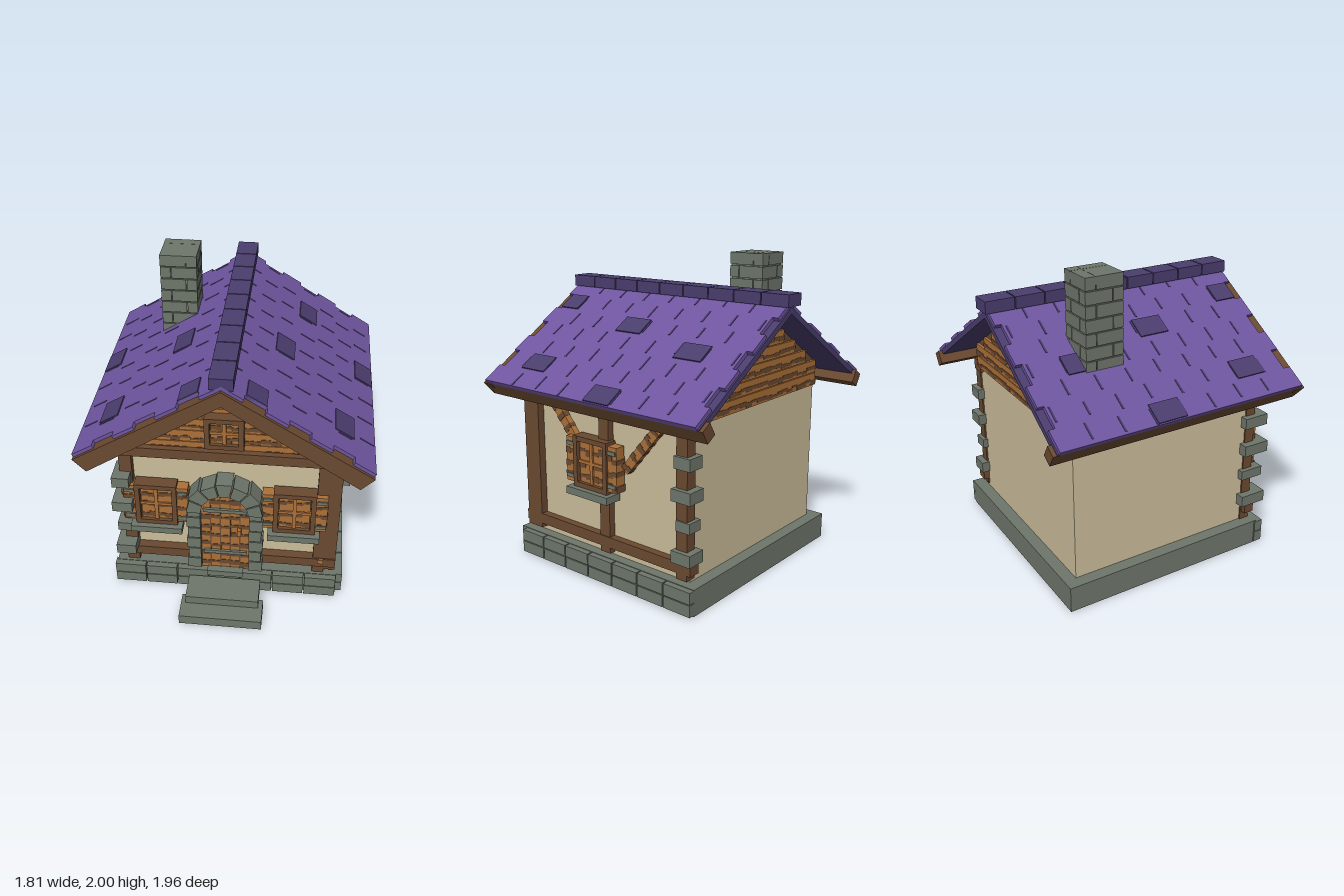
import * as THREE from 'three';
import { mergeGeometries } from 'three/addons/utils/BufferGeometryUtils.js';

const paint = (name, color) => {
  const m = new THREE.MeshStandardMaterial({ color });
  m.name = name;
  return m;
};

export function createModel() {
  const model = new THREE.Group();
  model.name = 'cottage';
  const stone = paint('stone', 0x6e766b), timber = paint('timber', 0x6a4930), plaster = paint('plaster', 0xcbbd9a),
    plank = paint('plank', 0xac7038), tile = paint('tile', 0x6e559f), darkTile = paint('dark tile', 0x4a3d6d);

  let seed = 7;
  const rand = () => (seed = (seed * 16807) % 2147483647) / 2147483647;

  const add = (parent, name, geo, mat) => {
    const mesh = new THREE.Mesh(geo, mat);
    mesh.name = name;
    parent.add(mesh);
    return mesh;
  };
  const group = (parent, name) => {
    const g = new THREE.Group();
    g.name = name;
    parent.add(g);
    return g;
  };
  // box geometry given by its limits on each axis
  const span = (x0, x1, y0, y1, z0, z1) =>
    new THREE.BoxGeometry(x1 - x0, y1 - y0, z1 - z0).translate((x0 + x1) / 2, (y0 + y1) / 2, (z0 + z1) / 2);
  const box = (parent, name, mat, ...lim) => add(parent, name, span(...lim), mat);
  const extrude = (pts, z0, z1) => new THREE.ExtrudeGeometry(
    new THREE.Shape(pts.map(p => new THREE.Vector2(...p))), { depth: z1 - z0, bevelEnabled: false }).translate(0, 0, z0);

  // ragged dark grain wrapped round a board
  const grain = (parent, x0, x1, y0, y1, z0, z1, pitch = 0.085) => {
    const parts = [], n = Math.max(2, Math.round((x1 - x0) / 0.06)), w = (x1 - x0) / n, e = 0.003;
    for (let y = y0 + pitch * 0.4; y < y1 - 0.01; y += pitch) {
      for (let i = 0; i < n; i++) {
        const h = pitch * (0.2 + 0.3 * rand()), c = y + (rand() - 0.5) * pitch * 0.3;
        parts.push(span(x0 + i * w - (i ? 0 : e), x0 + (i + 1) * w + (i < n - 1 ? 0 : e),
          Math.max(y0, c - h / 2), Math.min(y1, c + h / 2), z0 - e, z1 + e));
      }
    }
    add(parent, 'woodGrain', mergeGeometries(parts), timber);
  };
  const board = (parent, name, ...lim) => {
    box(parent, name, plank, ...lim);
    grain(parent, ...lim);
  };

  // foundation with facing stones on the front and one side
  box(model, 'foundation', stone, -0.74, 0.745, 0, 0.17, -0.82, 0.62);
  const footing = [];
  for (let r = 0; r < 2; r++) for (let i = 0; i < 7; i++) {
    const y0 = 0.01 + r * 0.081, y1 = y0 + 0.075, x = -0.75 + i * 0.214, z = -0.82 + i * 0.205;
    footing.push(span(x, x + 0.206, y0, y1, 0.6, 0.66), span(0.73, 0.785, y0, y1, z, z + 0.197));
  }
  add(model, 'footingStones', mergeGeometries(footing), stone);
  box(model, 'upperStep', stone, -0.24, 0.24, 0.06, 0.13, 0.68, 0.87);
  box(model, 'lowerStep', stone, -0.27, 0.27, 0, 0.07, 0.8, 0.985);
  box(model, 'threshold', stone, -0.12, 0.12, 0.13, 0.175, 0.6, 0.67);

  // walls and the loft behind the gables
  box(model, 'walls', plaster, -0.66, 0.68, 0.16, 1.2, -0.74, 0.55);
  add(model, 'loft', extrude([[-0.66, 1.13], [0.67, 1.13], [0.67, 1.28], [0, 1.69], [-0.66, 1.28]], -0.745, 0.555), timber);

  // timber frame
  const frame = group(model, 'timberFrame');
  [[-0.67, -0.59, 0.17, 1.1, 0.53, 0.6], [0.58, 0.655, 0.17, 1.1, 0.53, 0.6],
    [0.655, 0.73, 0.2, 1.1, 0.47, 0.6], [0.6, 0.725, 0.19, 1.15, -0.145, -0.065],
    [0.65, 0.725, 0.19, 1.15, -0.75, -0.67], [-0.705, 0.73, 0.23, 0.3, 0.54, 0.61],
    [-0.71, 0.73, 1.09, 1.16, 0.54, 0.615], [0.65, 0.73, 0.23, 0.3, -0.78, 0.6],
    [0.62, 0.72, 1.08, 1.16, -0.76, 0.56]].forEach(l => box(frame, 'beam', timber, ...l));
  for (const s of [-1, 1]) for (const y of [0.28, 1.13])
    box(frame, 'peg', plank, s * 0.63 - 0.02, s * 0.63 + 0.02, y - 0.018, y + 0.018, 0.6, 0.618);
  // diagonal braces on the side wall: [z, y] ends
  [[0.345, 1.11, 0.13, 0.85], [-0.56, 1.11, -0.27, 0.765]].forEach(([za, ya, zb, yb]) => {
    const b = group(frame, 'brace'), len = Math.hypot(za - zb, ya - yb);
    board(b, 'braceBoard', -0.03, 0.03, -len / 2, len / 2, -0.025, 0.025);
    b.position.set(0.695, (ya + yb) / 2, (za + zb) / 2);
    b.rotation.set(Math.atan2(za - zb, ya - yb), Math.PI / 2, 0, 'XYZ');
  });

  // corner stones
  const quoins = [];
  [[0.3, 0.375, 0.02], [0.495, 0.56, 0], [0.68, 0.755, 0.02], [0.875, 0.95, 0.01]].forEach(([y0, y1, e]) => {
    quoins.push(span(-0.7 - e, -0.61 + e, y0, y1, 0.5, 0.665 + e));
    quoins.push(span(0.63, 0.735 + e, y0, y1, -0.775 - e, -0.675 + e));
  });
  add(model, 'cornerStones', mergeGeometries(quoins), stone);

  // windows: local z points outward from the wall
  const windowUnit = (name, w, h, full = true) => {
    const g = group(model, name), x = w / 2, y = h / 2, t = 0.032;
    for (const s of [-1, 1]) {
      box(g, 'frameSide', timber, s * (x - t / 2) - t / 2, s * (x - t / 2) + t / 2, -y, y, 0, 0.085);
      box(g, 'frameRail', timber, -x, x, s * (y - t / 2) - t / 2, s * (y - t / 2) + t / 2, 0, 0.084);
      const px = s * (x - t) / 2, hw = (x - t) / 2 - 0.005;
      board(g, 'windowPanel', px - hw, px + hw, -y + t, y - t, 0, 0.06);
      if (full) {
        const a = s > 0 ? x : -x - 0.072;
        board(g, 'shutter', a, a + 0.072, -y + 0.02, y - 0.02, 0, 0.07);
        for (const v of [-1, 1])
          box(g, 'shutterHinge', stone, a + 0.005, a + 0.067, v * h * 0.32 - 0.012, v * h * 0.32 + 0.012, 0.06, 0.079);
      }
    }
    box(g, 'windowBacking', timber, -x + t, x - t, -y + t, y - t, 0, 0.05);
    box(g, 'crossbar', plank, -x + t, x - t, -0.01, 0.01, 0.04, 0.07);
    box(g, 'mullion', plank, -0.012, 0.012, -y + t, y - t, 0.04, 0.071);
    if (full) box(g, 'sill', stone, -x - 0.032, x + 0.032, -y - 0.047, -y, 0, 0.12);
    return g;
  };
  for (const s of [-1, 1]) windowUnit('frontWindow', 0.27, 0.325).position.set(s * 0.443, 0.718, 0.56);
  const sideWindow = windowUnit('sideWindow', 0.28, 0.33);
  sideWindow.position.set(0.69, 0.763, -0.03);
  sideWindow.rotation.y = Math.PI / 2;
  windowUnit('gableWindow', 0.24, 0.225, false).position.set(0, 1.322, 0.56);

  // arched door with straps, handle and stone surround
  const door = group(model, 'door');
  const arch = [[-0.16, 0.17], [0.16, 0.17]];
  for (let i = 0; i <= 14; i++) arch.push([0.16 * Math.cos(i * Math.PI / 14), 0.69 + 0.16 * Math.sin(i * Math.PI / 14)]);
  add(door, 'doorLeaf', extrude(arch, 0.54, 0.62), plank);
  grain(door, -0.155, 0.155, 0.18, 0.71, 0.58, 0.62);
  grain(door, -0.1, 0.1, 0.72, 0.82, 0.58, 0.62);
  for (const x of [-0.096, -0.032, 0.032, 0.096])
    box(door, 'plankJoint', timber, x - 0.004, x + 0.004, 0.175, 0.8, 0.6, 0.625);
  for (const y of [0.325, 0.695]) box(door, 'strap', stone, -0.142, 0.142, y - 0.013, y + 0.013, 0.6, 0.637);
  box(door, 'handle', plank, 0.08, 0.105, 0.495, 0.545, 0.6, 0.65);
  const surround = [];
  for (const s of [-1, 1]) for (let i = 0; i < 6; i++) {
    const out = i % 2 ? 0.238 : 0.247, y = 0.2 + i * 0.092, xs = [s * 0.157, s * out].sort((a, b) => a - b);
    surround.push(span(xs[0], xs[1], y, y + 0.084, 0.54, 0.665));
  }
  add(door, 'jambStones', mergeGeometries(surround), stone);
  for (let i = 0; i < 7; i++) {
    const a0 = i * Math.PI / 7 + 0.02, a1 = (i + 1) * Math.PI / 7 - 0.02, R = i % 2 ? 0.258 : 0.245;
    const at = (r, a) => [r * Math.cos(a), 0.7 + r * Math.sin(a)];
    add(door, 'archStone', extrude([at(0.155, a0), at(R, a0), at(R, a1), at(0.155, a1)], 0.54, 0.675), stone);
  }

  // gable boards, front and back
  [[0, 0.545, 1.635, 0.665], [Math.PI, 0.735, 1.69, 0.625]].forEach(([turn, z, top, run]) => {
    const g = group(model, turn ? 'backGable' : 'frontGable');
    g.rotation.y = turn;
    for (let y = 1.12; y < 1.6; y += 0.0865) {
      const hw = Math.min(0.645, (top - y - 0.08) / run);
      if (hw < 0.03) continue;
      box(g, 'gableBoard', plank, -hw, hw, y, y + 0.082, z, z + 0.03);
      grain(g, -hw, hw, y, y + 0.045, z + 0.01, z + 0.03, 0.07);
    }
  });

  // roof slopes: local x runs down the slope, local y = 0 is the tile surface
  const angle = Math.atan2(0.56, 0.91), rowLen = 1.062 / 7;
  for (const s of [-1, 1]) {
    const roof = group(model, s > 0 ? 'leftRoof' : 'rightRoof');
    roof.position.y = 1.76;
    roof.rotation.z = -s * angle;
    const slope = (u0, u1, ...rest) => span(Math.min(s * u0, s * u1), Math.max(s * u0, s * u1), ...rest);
    add(roof, 'roofDeck', slope(0, 1.055, -0.06, -0.025, -0.95, 0.73), darkTile);
    add(roof, 'eaveBeam', slope(0.985, 1.06, -0.12, -0.03, -0.975, 0.76), timber);
    const rows = [], joints = [];
    for (let r = 0; r < 7; r++) {
      const u = r * rowLen, odd = r % 2;
      rows.push(slope(u, u + rowLen, -0.03, 0, odd ? -0.9 : -0.94, odd ? 0.72 : 0.77));
      for (let z = odd ? 0.57 : 0.512; z > -0.88; z -= 0.2065) {
        const u0 = u + rowLen * (0.05 + 0.2 * rand());
        joints.push(slope(u0, u0 + rowLen * (0.6 + 0.15 * rand()), -0.004, 0.003, z - 0.006, z + 0.006));
      }
    }
    add(roof, 'tileRows', mergeGeometries(rows), tile);
    add(roof, 'tileJoints', mergeGeometries(joints), darkTile);
    // odd dark tiles: [row, z start]
    [[1, 0.57], [2, -0.1], [3, -0.67], [5, 0.36], [6, -0.31]].forEach(([r, z]) =>
      add(roof, 'darkTile', slope(r * rowLen + 0.008, (r + 1) * rowLen - 0.008, -0.02, 0.008, z, z + (r === 1 ? 0.15 : 0.2)), darkTile));
  }
  add(model, 'frontRafters', extrude([[0, 1.735], [-0.9, 1.18], [-0.82, 1.095], [0, 1.635], [0.82, 1.095], [0.9, 1.18]], 0.72, 0.79), timber);
  for (let i = 0; i < 9; i++) {
    const z = 0.77 - i * 0.194;
    box(model, 'ridgeTile', darkTile, -0.07, 0.07, 1.735, 1.81, z - 0.187, z);
  }

  // chimney of staggered blocks round a core
  const chimney = group(model, 'chimney'), blocks = [];
  box(chimney, 'chimneyCore', stone, -0.51, -0.29, 1.38, 1.99, -0.55, -0.32);
  for (let r = 0; r < 8; r++) {
    const y1 = 2 - r * 0.0835, y0 = y1 - 0.076, mx = r % 2 ? -0.45 : -0.35, mz = r % 2 ? -0.38 : -0.49;
    for (const [xa, xb] of [[-0.52, mx - 0.003], [mx + 0.003, -0.28]])
      for (const [za, zb] of [[-0.56, mz - 0.003], [mz + 0.003, -0.31]])
        blocks.push(span(xa, xb, y0, y1, za, zb));
  }
  box(chimney, 'chimneyCap', stone, -0.519, -0.281, 1.95, 1.999, -0.559, -0.311);
  add(chimney, 'chimneyBlocks', mergeGeometries(blocks), stone);
  return model;
}
